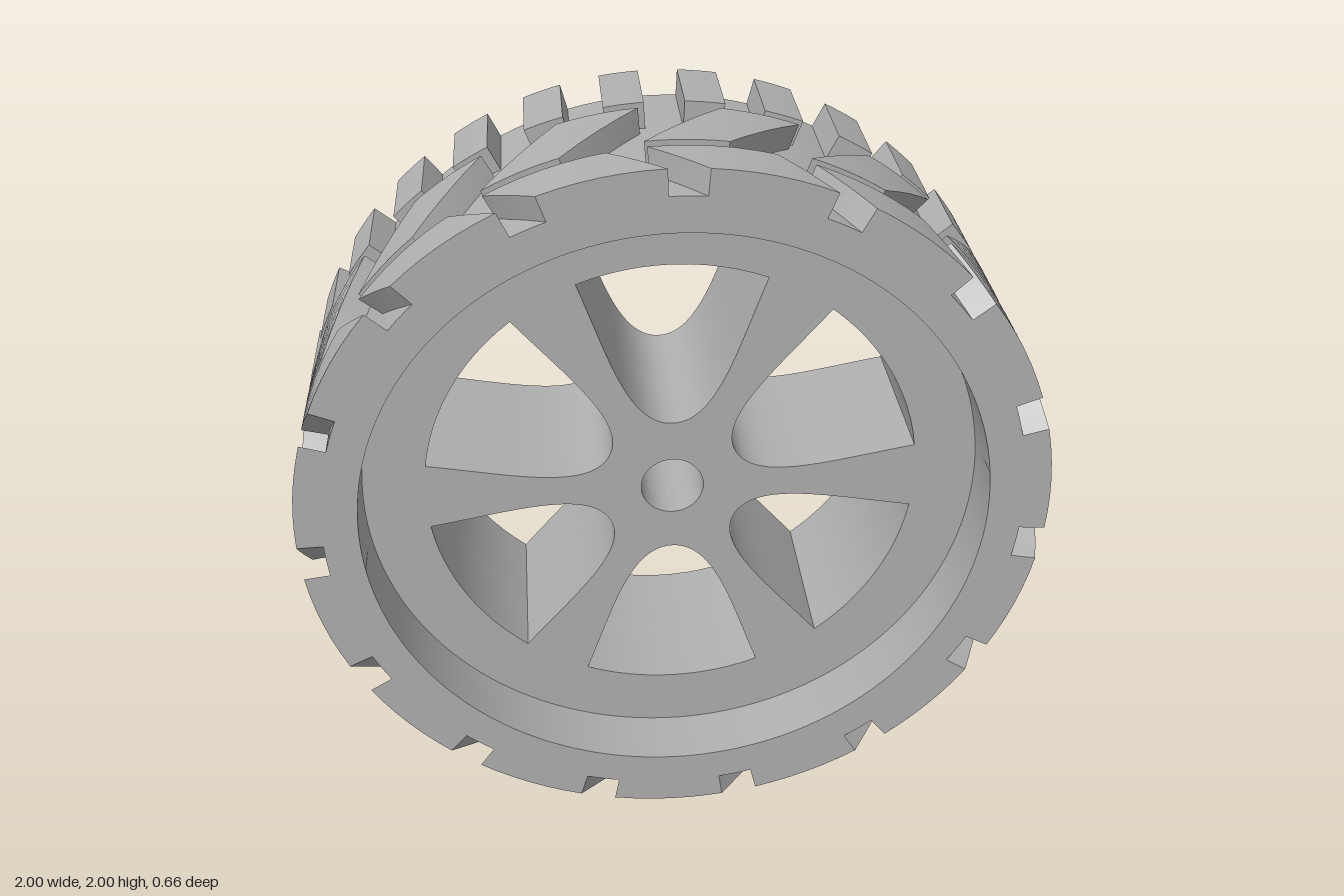
import * as THREE from 'three';
import { toCreasedNormals } from 'three/addons/utils/BufferGeometryUtils.js';

const BASE_R = 0.93, OUTER_R = 1;
const DEG = Math.PI / 180;

const rubberGrey = new THREE.MeshStandardMaterial({ color: 0xb0b0b0 });

function disc(radius) {
  return new THREE.Shape().absarc(0, 0, radius, 0, Math.PI * 2, false);
}

function circleHole(radius) {
  return new THREE.Path().absarc(0, 0, radius, 0, Math.PI * 2, true);
}

// Flared opening between two spokes: rounded tip near the hub, arc at the rim
function spokeWindow(turn) {
  const half = [];
  const side = new THREE.CubicBezierCurve(
    new THREE.Vector2(0, 0.2), new THREE.Vector2(0.12, 0.2),
    new THREE.Vector2(0.17, 0.42), new THREE.Vector2(0.246, 0.622));
  half.push(...side.getPoints(24));
  const spread = Math.atan2(0.246, 0.622);
  for (let i = 1; i <= 6; i++) {
    const a = spread * (1 - i / 6);
    half.push(new THREE.Vector2(Math.sin(a) * 0.669, Math.cos(a) * 0.669));
  }
  const mirrored = half.slice(1, -1).reverse().map(p => new THREE.Vector2(-p.x, p.y));
  const origin = new THREE.Vector2();
  return new THREE.Path([...half, ...mirrored].map(p => p.rotateAround(origin, turn)));
}

function slab(shape, z0, z1) {
  const geo = new THREE.ExtrudeGeometry(shape, {
    depth: z1 - z0, bevelEnabled: false, curveSegments: 96 });
  geo.translate(0, 0, z0);
  return toCreasedNormals(geo, 0.5);
}

// Curved tread block; angles run clockwise from the top, in degrees.
// The front edge (z1) spans a0..a1, the back edge is shifted by skew.
function treadBlock(a0, a1, z0, z1, skew) {
  const geo = new THREE.BoxGeometry(1, 1, 1, 6, 1, 4);
  const pos = geo.attributes.position;
  for (let i = 0; i < pos.count; i++) {
    const u = pos.getX(i) + 0.5, w = pos.getZ(i) + 0.5;
    const r = pos.getY(i) > 0 ? OUTER_R : BASE_R - 0.001;
    const a = (a0 + (a1 - a0) * u + skew * (1 - w)) * DEG;
    pos.setXYZ(i, Math.sin(a) * r, Math.cos(a) * r, z0 + (z1 - z0) * w);
  }
  return toCreasedNormals(geo, 0.4);
}

export function createModel() {
  const wheel = new THREE.Group();
  wheel.name = 'wheel';
  wheel.position.y = 1;

  const add = (name, geo, parent = wheel) => {
    const mesh = new THREE.Mesh(geo, rubberGrey);
    mesh.name = name;
    parent.add(mesh);
    return mesh;
  };

  // Spoked body: the back slab closes the blind axle hole
  const windows = () => Array.from({ length: 6 }, (_, i) => spokeWindow(i * 60 * DEG));
  const back = disc(BASE_R);
  back.holes.push(...windows());
  add('backSpokes', slab(back, -0.33, -0.1));

  const front = disc(BASE_R);
  front.holes.push(...windows(), circleHole(0.085));
  add('frontSpokes', slab(front, -0.1, 0.16));

  // Raised rim around the recessed front
  const rim = disc(BASE_R);
  rim.holes.push(circleHole(0.835));
  add('frontRim', slab(rim, 0.16, 0.33));

  // Three rows of tread
  const rows = [
    { name: 'frontTread', count: 15, block: treadBlock(4.3, 22.5, 0.19, 0.33, -8) },
    { name: 'middleTread', count: 15, block: treadBlock(-4, 8, -0.065, 0.155, 12) },
    { name: 'backTread', count: 30, block: treadBlock(-9, -3, -0.33, -0.1, 0) },
  ];
  for (const { name, count, block } of rows) {
    const row = new THREE.Group();
    row.name = name;
    for (let i = 0; i < count; i++) {
      add(name + 'Block', block, row).rotation.z = -i * 2 * Math.PI / count;
    }
    wheel.add(row);
  }

  const model = new THREE.Group();
  model.name = 'treadedWheel';
  model.add(wheel);
  return model;
}
